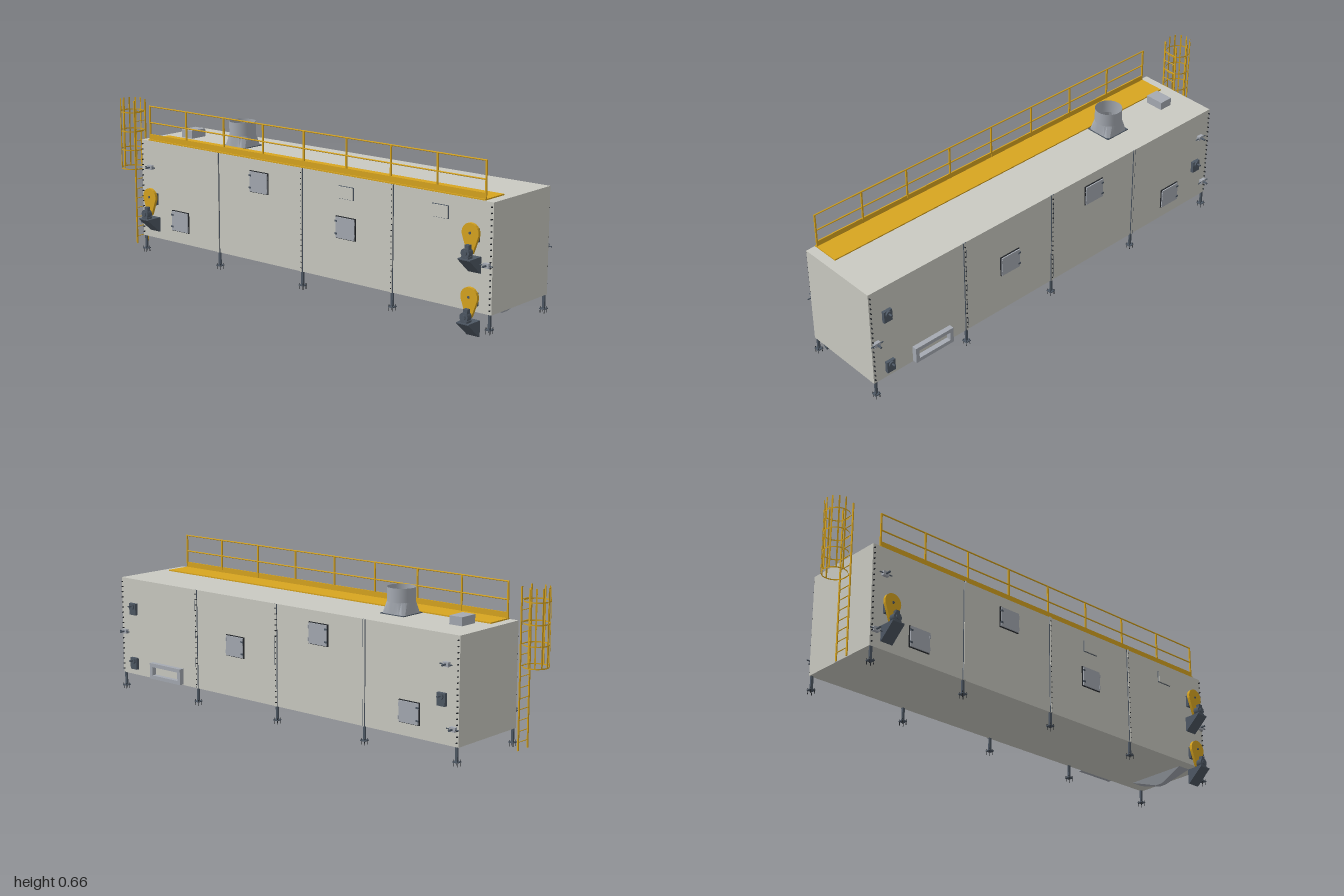
import * as THREE from 'three';
import { toCreasedNormals } from 'three/addons/utils/BufferGeometryUtils.js';

export function createModel() {
  const root = new THREE.Group();
  const mat = (name, color, side = THREE.FrontSide) => {
    const m = new THREE.MeshStandardMaterial({ color, side });
    m.name = name;
    return m;
  };
  const shell = mat('pale shell', 0xcacac2);
  const steel = mat('grey steel', 0xa5aab2, THREE.DoubleSide);
  const slate = mat('dark slate', 0x4e5864);
  const yellow = mat('safety yellow', 0xd8a520);
  const black = mat('black', 0x25282c);

  const add = (parent, name, geo, m, x = 0, y = 0, z = 0) => {
    const mesh = new THREE.Mesh(geo, m);
    mesh.name = name;
    mesh.position.set(x, y, z);
    parent.add(mesh);
    return mesh;
  };
  // box given by its min and max on each axis
  const box = (parent, name, m, x0, x1, y0, y1, z0, z1) =>
    add(parent, name, new THREE.BoxGeometry(x1 - x0, y1 - y0, z1 - z0), m,
      (x0 + x1) / 2, (y0 + y1) / 2, (z0 + z1) / 2);
  const cyl = (parent, name, m, r, len, axis, x, y, z, seg = 24) => {
    const g = new THREE.CylinderGeometry(r, r, len, seg);
    if (axis === 'z') g.rotateX(Math.PI / 2);
    if (axis === 'x') g.rotateZ(Math.PI / 2);
    return add(parent, name, g, m, x, y, z);
  };
  const group = (name, parent = root) => {
    const g = new THREE.Group();
    g.name = name;
    parent.add(g);
    return g;
  };

  const X0 = -0.826, X1 = 0.982, Y0 = 0.09, Y1 = 0.507, ZF = 0.164, ZB = -0.198;
  const sides = [[ZF, 1], [ZB, -1]];
  box(root, 'housing', shell, X0, X1, Y0, Y1, ZB, ZF);

  // joints between housing sections, with bolt rows
  const joints = group('sectionJoints');
  for (const [z, s] of sides) {
    for (const x of [-0.377, 0.077, 0.527]) {
      box(joints, 'jointFlange', shell, x - 0.004, x + 0.004, Y0, Y1, z - 0.004, z + s * 0.005 + 0.001);
      for (const d of [-0.005, 0.005]) box(joints, 'jointSeam', slate, x + d - 0.001, x + d + 0.001, Y0, Y1, z - 0.003, z + 0.003);
    }
    for (const x of [X0 + 0.006, 0.077, 0.527, X1 - 0.006])
      for (let i = 0; i < 18; i++)
        box(joints, 'bolt', black, x - 0.002, x + 0.002, 0.105 + i * 0.0225, 0.109 + i * 0.0225, z - 0.007, z + 0.007);
  }

  // legs with foot plates and anchor bolts
  const legs = group('legs');
  for (const x of [-0.816, -0.377, 0.077, 0.527, 0.972])
    for (const z of [0.159, -0.194]) {
      const leg = group('leg', legs);
      leg.position.set(x, 0, z);
      box(leg, 'post', slate, -0.005, 0.005, 0.033, Y0 + 0.001, -0.004, 0.004);
      box(leg, 'footPlate', slate, -0.012, 0.012, 0.032, 0.036, -0.012, 0.012);
      for (const dx of [-0.009, 0.009]) for (const dz of [-0.009, 0.009])
        cyl(leg, 'anchorBolt', black, 0.0012, 0.025, 'y', dx, 0.03, dz, 6);
    }

  // tapered discharge hopper under the left end
  const hg = new THREE.BoxGeometry(0.06, 0.041, 0.279);
  const hp = hg.attributes.position;
  for (let i = 0; i < hp.count; i++)
    if (hp.getY(i) < 0) hp.setXYZ(i, hp.getX(i) * 0.4, hp.getY(i), hp.getZ(i) * 0.12);
  const hopperGeo = hg.toNonIndexed();
  hopperGeo.computeVertexNormals();
  add(root, 'dischargeHopper', hopperGeo, steel, 0.905, 0.0705, -0.017);

  // access doors on both long sides
  for (const [x, y] of [[-0.148, 0.417], [0.302, 0.302], [-0.598, 0.184]])
    for (const [z, s] of sides) {
      const door = group('accessDoor');
      door.position.set(x, y, z);
      door.scale.z = s;
      add(door, 'gasket', new THREE.BoxGeometry(0.098, 0.088, 0.006), black, 0, 0, 0.001);
      add(door, 'panel', new THREE.BoxGeometry(0.092, 0.082, 0.008), steel, 0, 0, 0.005);
      for (const dy of [-0.025, 0.025]) {
        add(door, 'latch', new THREE.BoxGeometry(0.012, 0.007, 0.004), slate, -0.043, dy, 0.009);
        add(door, 'hinge', new THREE.BoxGeometry(0.005, 0.014, 0.004), steel, 0.046, dy, 0.008);
      }
    }
  // small covers on the front
  for (const x of [0.304, 0.749]) {
    box(root, 'coverEdge', slate, x - 0.037, x + 0.037, 0.416, 0.466, ZF - 0.002, ZF + 0.003);
    box(root, 'smallCover', shell, x - 0.035, x + 0.035, 0.418, 0.464, ZF - 0.002, ZF + 0.007);
  }

  // air inlet frame low on the back
  const rect = (P, w, h) => new P([[-w, -h], [w, -h], [w, h], [-w, h]].map(p => new THREE.Vector2(...p)));
  const frame = rect(THREE.Shape, 0.092, 0.034);
  frame.holes.push(rect(THREE.Path, 0.076, 0.018));
  add(root, 'airInletFrame', new THREE.ExtrudeGeometry(frame, { depth: 0.022, bevelEnabled: false }),
    steel, 0.703, 0.127, ZB - 0.021);

  // exhaust stack: square-to-round base and open pipe
  const stack = group('exhaustStack');
  stack.position.set(-0.409, 0, -0.017);
  const R = 0.0555, N = 32, pos = [];
  const ring = (i, square) => {
    const a = (i + 0.5) / N * Math.PI * 2, c = Math.cos(a), s = Math.sin(a);
    const k = square ? R / Math.max(Math.abs(c), Math.abs(s)) : R;
    return [c * k, square ? Y1 : 0.556, s * k];
  };
  for (let i = 0; i < N; i++) {
    const a = ring(i, true), b = ring(i + 1, true), c = ring(i, false), d = ring(i + 1, false);
    pos.push(...a, ...c, ...b, ...b, ...c, ...d);
  }
  const tg = new THREE.BufferGeometry();
  tg.setAttribute('position', new THREE.Float32BufferAttribute(pos, 3));
  add(stack, 'transition', toCreasedNormals(tg, 0.5), steel);
  add(stack, 'pipe', new THREE.CylinderGeometry(R, R, 0.056, 40, 1, true), steel, 0, 0.583, 0);
  box(stack, 'baseFlange', slate, -0.058, 0.058, Y1, Y1 + 0.003, -0.058, 0.058);
  box(root, 'roofVent', steel, -0.733, -0.674, Y1 - 0.001, 0.541, -0.064, 0.017);

  // roof walkway with toe board and guard rail
  const walk = group('walkway');
  const W0 = -0.787, W1 = 0.942, ZR = 0.153;
  box(walk, 'deck', yellow, W0, W1, Y1 - 0.001, 0.512, 0.043, 0.162);
  box(walk, 'toeBoard', yellow, W0, W1, 0.508, 0.534, ZR - 0.002, ZR + 0.003);
  for (let i = 0; i <= 8; i++) {
    const x = W0 + 0.003 + (W1 - W0 - 0.006) * i / 8;
    box(walk, 'railPost', yellow, x - 0.003, x + 0.003, 0.51, 0.652, ZR - 0.003, ZR + 0.003);
  }
  for (const y of [0.583, 0.652]) cyl(walk, 'rail', yellow, 0.003, W1 - W0, 'x', (W0 + W1) / 2, y, ZR, 8);

  // caged ladder at the right end
  const ladder = group('ladder');
  const LX = -0.902, LZ = 0.102;
  for (const z of [0.071, 0.133]) box(ladder, 'stile', yellow, LX - 0.002, LX + 0.002, 0.034, 0.66, z - 0.0035, z + 0.0035);
  for (let i = 0; i < 14; i++) cyl(ladder, 'rung', yellow, 0.0018, 0.062, 'z', LX, 0.067 + i * 0.0419, LZ, 8);
  const hoop = new THREE.CylinderGeometry(0.05, 0.05, 0.005, 32, 1, true);
  const hoopMat = mat('safety yellow sheet', 0xd8a520, THREE.DoubleSide);
  for (const y of [0.36, 0.443, 0.524, 0.607]) add(ladder, 'cageHoop', hoop, hoopMat, -0.95, y, LZ);
  for (let i = 0; i < 7; i++) {
    const a = Math.PI / 2 + Math.PI * i / 6;
    const bar = add(ladder, 'cageBar', new THREE.BoxGeometry(0.002, 0.3, 0.006), yellow,
      -0.95 + 0.05 * Math.cos(a), 0.51, LZ + 0.05 * Math.sin(a));
    bar.rotation.y = -a;
  }

  // belt drives: bearing blocks, shaft, guard, motor and bracket
  for (const [x, y] of [[0.906, 0.39], [-0.751, 0.273], [0.906, 0.152]]) {
    const d = group('beltDrive');
    d.position.set(x, y, 0);
    for (const [z, s] of sides) {
      add(d, 'bearingBlock', new THREE.BoxGeometry(0.038, 0.05, 0.014), slate, 0, -0.012, z + s * 0.006);
      cyl(d, 'bearing', slate, 0.013, 0.018, 'z', 0, 0, z + s * 0.011);
      cyl(d, 'shaft', slate, 0.004, 0.036, 'z', 0, 0.002, z + s * 0.017, 12);
    }
    // guard: large disc tapering down to the motor pulley
    const g = new THREE.Shape();
    g.absarc(0, 0, 0.037, -0.3, Math.PI + 0.3, false);
    g.absarc(0, -0.067, 0.014, Math.PI + 0.3, Math.PI * 2 - 0.3, false);
    g.closePath();
    add(d, 'beltGuard', toCreasedNormals(new THREE.ExtrudeGeometry(g,
      { depth: 0.012, bevelEnabled: false, curveSegments: 24 }), 0.5), yellow, 0, 0, 0.187);
    cyl(d, 'guardHub', slate, 0.005, 0.003, 'z', 0, 0, 0.2, 12);
    cyl(d, 'motor', slate, 0.018, 0.026, 'z', 0, -0.069, 0.216);
    cyl(d, 'motorCap', slate, 0.01, 0.034, 'z', 0, -0.069, 0.217);
    add(d, 'terminalBox', new THREE.BoxGeometry(0.018, 0.018, 0.016), slate, 0.004, -0.048, 0.216);
    add(d, 'motorBase', new THREE.BoxGeometry(0.032, 0.008, 0.028), slate, 0, -0.086, 0.216);
    // wedge bracket
    const w = new THREE.Shape([[0.163, -0.09], [0.235, -0.09], [0.235, -0.094], [0.168, -0.152], [0.163, -0.152]]
      .map(([z, v]) => new THREE.Vector2(-z, v)));
    const wg = new THREE.ExtrudeGeometry(w, { depth: 0.054, bevelEnabled: false });
    wg.rotateY(Math.PI / 2);
    add(d, 'motorBracket', wg, slate, -0.027);
  }

  // take-up bearings at the opposite ends of each belt
  for (const [x, y] of [[-0.77, 0.395], [0.962, 0.274], [-0.805, 0.157]])
    for (const [z, s] of sides) {
      const t = group('takeUp');
      t.position.set(x, y, z);
      t.scale.z = s;
      add(t, 'slideBlock', new THREE.BoxGeometry(0.026, 0.018, 0.014), steel, 0, 0, 0.007);
      cyl(t, 'tensionRod', slate, 0.0025, 0.056, 'x', 0, 0, 0.01, 8);
      cyl(t, 'shaft', slate, 0.004, 0.034, 'z', 0, 0, 0.017, 12);
    }

  return root;
}
